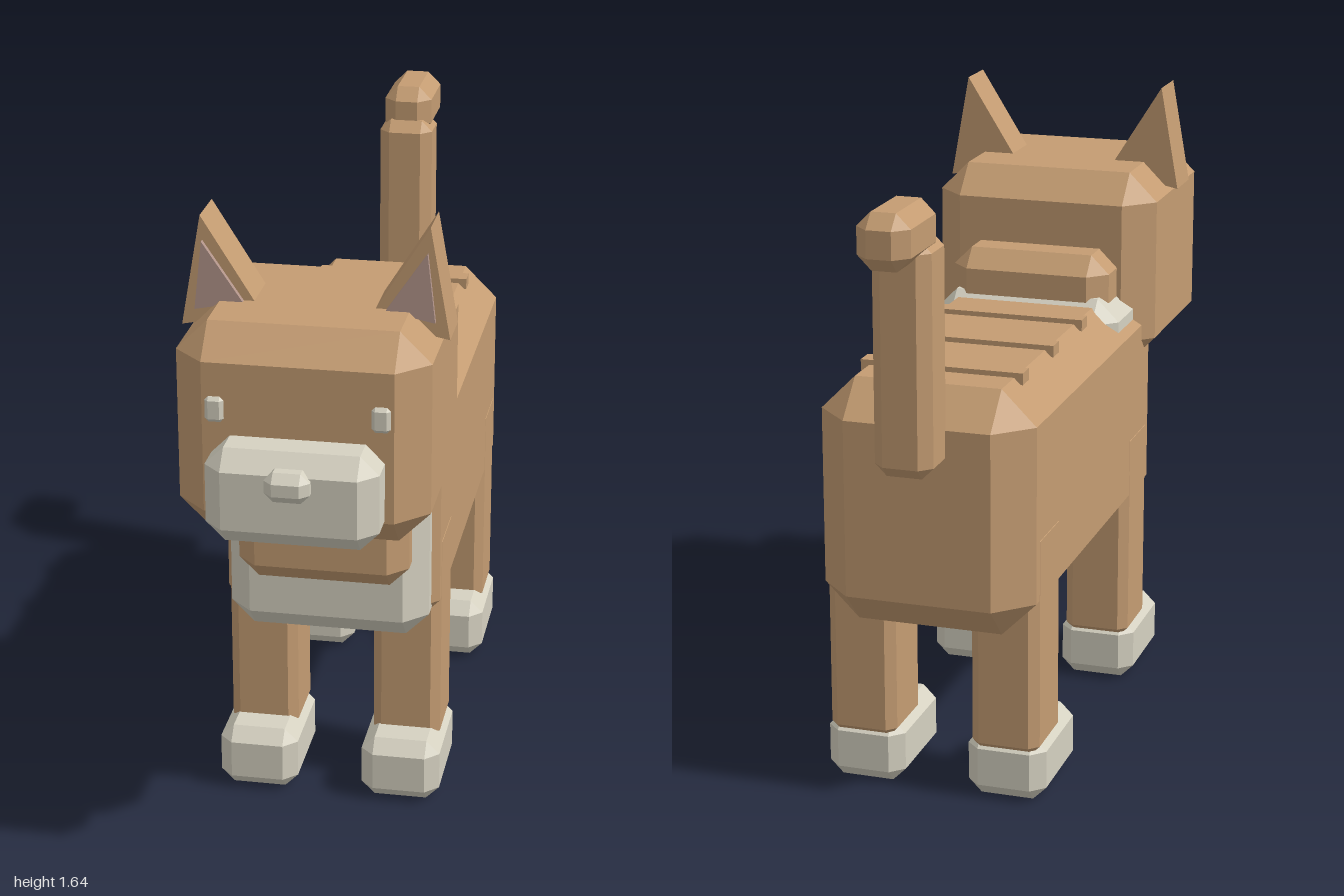
import * as THREE from 'three';
import { ConvexGeometry } from 'three/addons/geometries/ConvexGeometry.js';

const flat = (name, color) => {
  const m = new THREE.MeshStandardMaterial({ color });
  m.name = name;
  return m;
};

// Box with bevelled edges, given by its extents on each axis
function bevelBox([x0, x1], [y0, y1], [z0, z1], c) {
  const hx = (x1 - x0) / 2, hy = (y1 - y0) / 2, hz = (z1 - z0) / 2;
  const pts = [];
  for (const sx of [-1, 1]) for (const sy of [-1, 1]) for (const sz of [-1, 1]) {
    pts.push(
      new THREE.Vector3(sx * hx, sy * (hy - c), sz * (hz - c)),
      new THREE.Vector3(sx * (hx - c), sy * hy, sz * (hz - c)),
      new THREE.Vector3(sx * (hx - c), sy * (hy - c), sz * hz));
  }
  return new ConvexGeometry(pts).translate((x0 + x1) / 2, (y0 + y1) / 2, (z0 + z1) / 2);
}

// Triangular prism standing in the xy plane, mirrored by side
function prism(corners, side, z0, z1) {
  const shape = new THREE.Shape(corners.map(([x, y]) => new THREE.Vector2(side * x, y)));
  return new THREE.ExtrudeGeometry(shape, { depth: z1 - z0, bevelEnabled: false }).translate(0, 0, z0);
}

export function createModel() {
  const brown = flat('brown fur', 0xc49c72);
  const cream = flat('cream fur', 0xd5d1c1);
  const pink = flat('inner ear', 0xb4968b);

  const model = new THREE.Group();
  model.name = 'cat';
  const add = (name, geometry, material) => {
    const mesh = new THREE.Mesh(geometry, material);
    mesh.name = name;
    model.add(mesh);
  };
  const wide = (h) => [-h, h];

  // Torso, chest and neck
  add('body', bevelBox(wide(0.28), [0.46, 1.1], [-0.76, 0.48], 0.09), brown);
  add('chest', bevelBox(wide(0.26), [0.475, 1.12], [0.085, 0.505], 0.06), cream);
  add('neck', bevelBox(wide(0.22), [0.65, 1.23], [0.135, 0.575], 0.05), brown);

  // Head
  add('head', bevelBox(wide(0.31), [0.89, 1.43], [0.265, 0.845], 0.078), brown);
  add('muzzle', bevelBox(wide(0.21), [0.93, 1.17], [0.74, 0.965], 0.046), cream);
  add('nose', bevelBox(wide(0.055), [1.065, 1.14], [0.93, 1.0], 0.022), cream);

  // Back stripes
  for (const z of [-0.545, -0.285, -0.025]) {
    add('stripe', new THREE.BoxGeometry(0.425, 0.03, 0.05).translate(0, 1.098, z), brown);
  }

  // Tail
  add('tail', bevelBox(wide(0.075), [0.91, 1.5], [-0.875, -0.725], 0.03), brown);
  add('tailTip', bevelBox(wide(0.067), [1.45, 1.59], [-1.0, -0.755], 0.036), brown);

  for (const side of [1, -1]) {
    const label = side > 0 ? 'left' : 'right';
    const span = (a, b) => (side > 0 ? [a, b] : [-b, -a]);

    // Eyes and ears
    add(label + 'Eye', bevelBox(span(0.178, 0.224), [1.203, 1.267], [0.82, 0.856], 0.009), cream);
    add(label + 'Ear', prism([[0.13, 1.4], [0.33, 1.36], [0.28, 1.64]], side, 0.49, 0.62), brown);
    add(label + 'InnerEar', prism([[0.175, 1.43], [0.295, 1.405], [0.275, 1.578]], side, 0.615, 0.634), pink);

    // Legs and paws, front and back
    for (const [end, legZ, pawZ] of [
      ['Front', [0.18, 0.388], [0.185, 0.495]],
      ['Back', [-0.665, -0.457], [-0.66, -0.35]],
    ]) {
      add(label + end + 'Leg', bevelBox(span(0.102, 0.281), [0.13, 0.73], legZ, 0.024), brown);
      add(label + end + 'Paw', bevelBox(span(0.086, 0.294), [0, 0.17], pawZ, 0.035), cream);
    }
  }
  return model;
}
